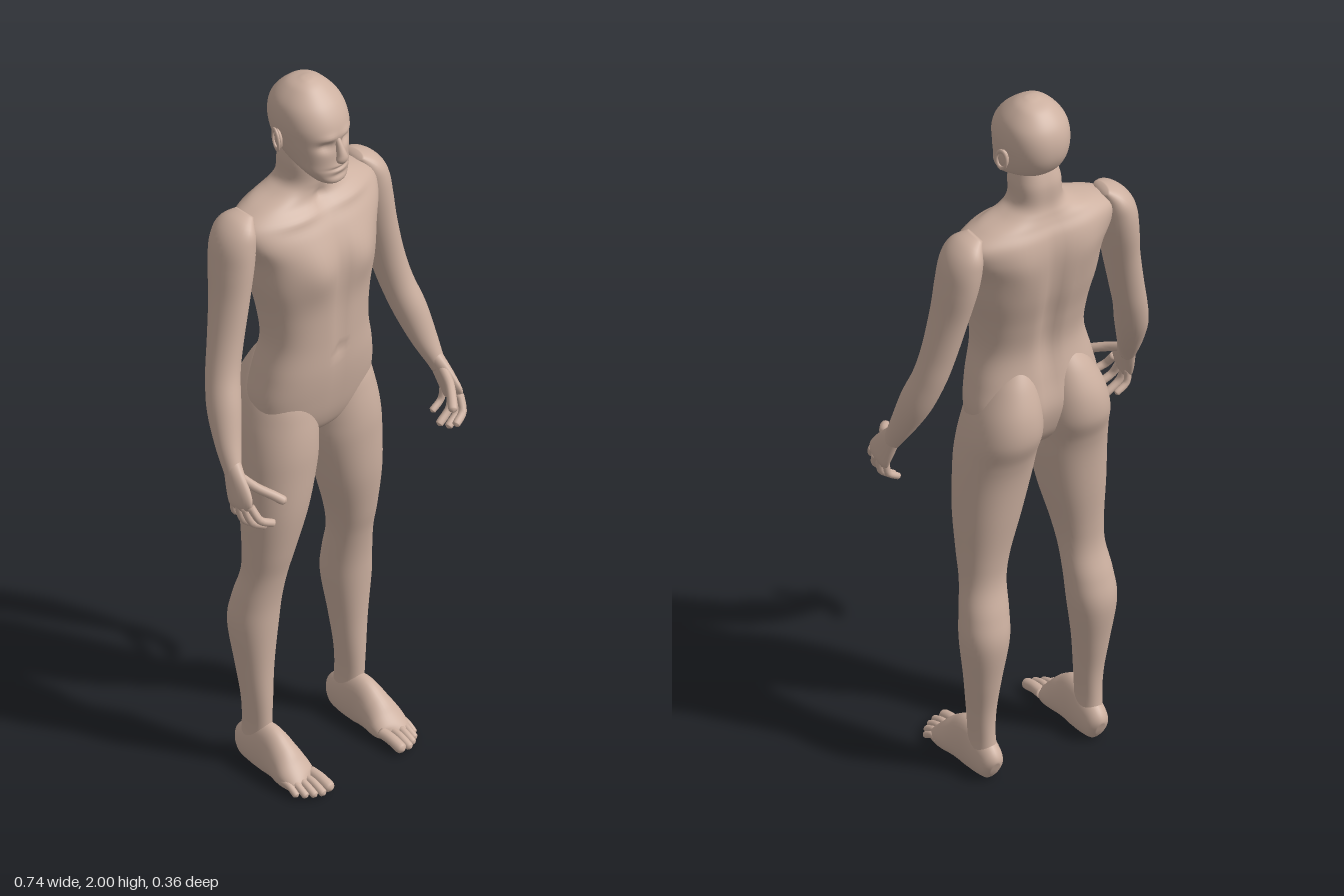
import * as THREE from 'three';

const skin = new THREE.MeshStandardMaterial({ color: 0xccb0a0 });
skin.name = 'skin';

const bump = (d, w) => Math.exp(-(d * d) / (w * w));

// Catmull-Rom sampling of all channels of a list of section rows
function sample(rows, t) {
  const n = rows.length - 1, f = Math.min(t * n, n - 1e-6), i = Math.floor(f), u = f - i;
  const [a, b, c, d] = [rows[Math.max(i - 1, 0)], rows[i], rows[i + 1], rows[Math.min(i + 2, n)]];
  return b.map((_, k) => b[k] + 0.5 * u * (c[k] - a[k] +
    u * (2 * a[k] - 5 * b[k] + 4 * c[k] - d[k] + u * (3 * (b[k] - c[k]) + d[k] - a[k]))));
}

// Closed smooth surface through rings; ring(row, tangentRow, angle) gives a point
function loft(rows, ring, segs, per) {
  const steps = (rows.length - 1) * per, pos = [], idx = [];
  for (let i = 0; i <= steps; i++) {
    const t = i / steps, row = sample(rows, t);
    const lo = sample(rows, Math.max(t - 0.01, 0)), hi = sample(rows, Math.min(t + 0.01, 1));
    const dir = hi.map((v, k) => v - lo[k]);
    for (let j = 0; j < segs; j++) pos.push(...ring(row, dir, (j / segs) * Math.PI * 2));
  }
  for (let i = 0; i < steps; i++) for (let j = 0; j < segs; j++) {
    const a = i * segs + j, b = i * segs + (j + 1) % segs;
    idx.push(a, a + segs, b, b, a + segs, b + segs);
  }
  // end caps
  for (const end of [0, steps]) {
    const c = [0, 0, 0], base = end * segs, centre = pos.length / 3;
    for (let j = 0; j < segs; j++) for (let k = 0; k < 3; k++) c[k] += pos[(base + j) * 3 + k] / segs;
    pos.push(...c);
    for (let j = 0; j < segs; j++) {
      const a = base + j, b = base + (j + 1) % segs;
      idx.push(centre, ...(end ? [b, a] : [a, b]));
    }
  }
  // turn the faces outward where the rings run the other way
  let volume = 0;
  const p = k => new THREE.Vector3().fromArray(pos, idx[k] * 3);
  for (let k = 0; k < idx.length; k += 3) volume += p(k).dot(p(k + 1).cross(p(k + 2)));
  if (volume < 0) idx.reverse();
  const g = new THREE.BufferGeometry();
  g.setAttribute('position', new THREE.Float32BufferAttribute(pos, 3));
  g.setIndex(idx);
  g.computeVertexNormals();
  return g;
}

// Horizontal sections: [y, centre x, half width, front z, back z]
function slabs(rows, { side = 1, power = 0.9, shape = () => 0, segs = 48, per = 6 } = {}) {
  const pw = v => Math.sign(v) * Math.abs(v) ** power;
  return loft(rows, ([y, cx, rx, zf, zb], _, a) => {
    const x = cx + rx * pw(Math.cos(a)), s = Math.sin(a);
    const z = (zf + zb) / 2 + (zf - zb) / 2 * pw(s);
    return [side * x, y, z + shape(x, y, s)];
  }, segs, per);
}

// Sections across a path: [x, y, z, radius along ref, radius across ref]
function limb(rows, ref, side = 1, segs = 20, per = 5) {
  return loft(rows, ([x, y, z, ra, rb], d, a) => {
    const t = new THREE.Vector3(d[0], d[1], d[2]).normalize();
    const u = ref.clone().addScaledVector(t, -ref.dot(t)).normalize();
    const v = t.clone().cross(u);
    const q = new THREE.Vector3(x, y, z).addScaledVector(u, ra * Math.cos(a)).addScaledVector(v, rb * Math.sin(a));
    return [side * q.x, Math.max(q.y, 0), q.z];
  }, segs, per);
}

// A finger or toe with a rounded tip
function digit(points, r, ref, side) {
  const rows = points.map(p => [...p, r, r]);
  const e = points[points.length - 1], b = points[points.length - 2];
  const d = new THREE.Vector3(...e).sub(new THREE.Vector3(...b)).normalize();
  for (const [k, s] of [[0.6, 0.75], [0.95, 0.15]])
    rows.push([e[0] + d.x * r * k, e[1] + d.y * r * k, e[2] + d.z * r * k, r * s, r * s]);
  return limb(rows, ref, side, 12, 4);
}

export function createModel() {
  const model = new THREE.Group();
  const X = new THREE.Vector3(1, 0, 0), Z = new THREE.Vector3(0, 0, 1);
  const add = (name, geometry, parent = model) => {
    const m = new THREE.Mesh(geometry, skin);
    m.name = name;
    parent.add(m);
    return m;
  };

  // torso and neck, with chest, belly, spine and shoulder-blade relief
  add('torso', slabs([
    [0.955, 0, 0.03, -0.02, -0.08], [0.985, 0, 0.09, 0.02, -0.11], [1.03, 0, 0.165, 0.042, -0.135],
    [1.1, 0, 0.182, 0.058, -0.15], [1.18, 0, 0.17, 0.069, -0.138], [1.27, 0, 0.151, 0.072, -0.125],
    [1.36, 0, 0.158, 0.075, -0.138], [1.45, 0, 0.177, 0.08, -0.158], [1.53, 0, 0.19, 0.076, -0.168],
    [1.59, 0, 0.215, 0.055, -0.17], [1.635, 0, 0.215, 0.025, -0.163], [1.665, 0, 0.165, 0.002, -0.148],
    [1.688, 0, 0.1, -0.004, -0.138], [1.715, 0, 0.068, -0.002, -0.13], [1.77, 0, 0.063, 0.002, -0.127],
    [1.82, 0, 0.05, -0.01, -0.11],
  ], {
    power: 0.85, segs: 72,
    shape: (x, y, s) => s > 0
      ? s * (0.016 * bump(Math.abs(x) - 0.075, 0.055) * bump(y - 1.49, 0.065)
        - 0.008 * bump(x, 0.018) * bump(y - 1.4, 0.2) - 0.01 * bump(x, 0.012) * bump(y - 1.235, 0.012)
        + 0.008 * bump(Math.abs(x) - 0.09, 0.07) * bump(y - 1.64, 0.014)
        - 0.012 * bump(x, 0.02) * bump(y - 1.665, 0.02))
      : s * (0.01 * bump(Math.abs(x) - 0.1, 0.05) * bump(y - 1.56, 0.08)
        - 0.018 * bump(x, 0.025) * bump(y - 1.38, 0.24)),
  }));

  // head with brow, eye-socket, cheek and mouth relief
  const head = new THREE.Group();
  head.name = 'head';
  model.add(head);
  add('skull', slabs([
    [1.737, 0, 0.018, 0.058, 0.02], [1.748, 0, 0.042, 0.069, -0.015], [1.775, 0, 0.063, 0.068, -0.06],
    [1.805, 0, 0.074, 0.066, -0.118], [1.85, 0, 0.084, 0.064, -0.149], [1.9, 0, 0.088, 0.06, -0.156],
    [1.945, 0, 0.078, 0.036, -0.143], [1.982, 0, 0.048, -0.004, -0.108], [1.997, 0, 0.02, -0.032, -0.07],
    [2.0, 0, 0.002, -0.048, -0.052],
  ], {
    segs: 72, per: 9,
    shape: (x, y, s) => s <= 0 ? 0 : s * (
      -0.013 * bump(Math.abs(x) - 0.033, 0.02) * bump(y - 1.853, 0.014)
      + 0.006 * bump(Math.abs(x) - 0.03, 0.025) * bump(y - 1.878, 0.011)
      + 0.005 * bump(x, 0.025) * bump(y - 1.786, 0.013)
      - 0.007 * bump(x, 0.028) * bump(y - 1.786, 0.004)
      - 0.004 * bump(x, 0.03) * bump(y - 1.765, 0.007)),
  }), head);
  add('nose', limb([
    [0, 1.872, 0.055, 0.007, 0.008], [0, 1.85, 0.066, 0.009, 0.011], [0, 1.828, 0.074, 0.013, 0.014],
    [0, 1.815, 0.075, 0.017, 0.013], [0, 1.806, 0.066, 0.009, 0.006],
  ], X), head);

  // toes: [x, base z, tip z, radius]
  const toes = [[0.122, 0.09, 0.156, 0.015], [0.147, 0.09, 0.16, 0.0105], [0.167, 0.085, 0.151, 0.01],
    [0.185, 0.078, 0.138, 0.0095], [0.2, 0.068, 0.12, 0.009]];
  // fingers, little to index: knuckle, joint, tip
  const fingers = [
    [[0.356, 0.953, 0.062], [0.352, 0.915, 0.06], [0.325, 0.895, 0.06]],
    [[0.36, 0.95, 0.083], [0.352, 0.905, 0.091], [0.317, 0.877, 0.094]],
    [[0.36, 0.95, 0.104], [0.35, 0.908, 0.12], [0.317, 0.886, 0.127]],
    [[0.356, 0.957, 0.123], [0.345, 0.923, 0.145], [0.315, 0.907, 0.156]]];

  for (const side of [1, -1]) {
    const label = side > 0 ? 'left' : 'right';
    const part = name => {
      const g = new THREE.Group();
      g.name = label + name;
      model.add(g);
      return g;
    };

    // ear: shell with a raised rim
    const ear = part('Ear');
    ear.position.set(side * 0.089, 1.85, -0.06);
    ear.rotation.set(-0.15, side * 0.3, 0);
    const shell = add('earShell', new THREE.SphereGeometry(1, 20, 14), ear);
    shell.scale.set(0.008, 0.028, 0.017);
    const rim = add('earRim', new THREE.TorusGeometry(0.016, 0.004, 8, 28), ear);
    rim.rotation.y = Math.PI / 2;
    rim.position.x = side * 0.007;
    rim.scale.set(1, 1.7, 1);

    // arm from deltoid to wrist
    const arm = part('Arm');
    add('armLength', limb([
      [0.185, 1.664, -0.08, 0.03, 0.012], [0.21, 1.635, -0.08, 0.06, 0.035], [0.226, 1.595, -0.079, 0.068, 0.048],
      [0.237, 1.53, -0.075, 0.067, 0.049], [0.252, 1.44, -0.066, 0.058, 0.045], [0.275, 1.33, -0.055, 0.049, 0.043],
      [0.295, 1.25, -0.042, 0.046, 0.042], [0.316, 1.17, -0.016, 0.045, 0.042], [0.333, 1.09, 0.016, 0.034, 0.034],
      [0.345, 1.03, 0.045, 0.026, 0.022], [0.348, 1.01, 0.056, 0.024, 0.018],
    ], Z, side, 32, 6), arm);

    // hand
    const hand = part('Hand');
    add('palm', limb([
      [0.342, 1.045, 0.04, 0.024, 0.02], [0.348, 1.02, 0.055, 0.03, 0.019], [0.354, 0.985, 0.075, 0.039, 0.017],
      [0.358, 0.955, 0.091, 0.042, 0.014], [0.357, 0.937, 0.099, 0.03, 0.008],
    ], Z, side, 24), hand);
    fingers.forEach((f, i) => add('finger' + (i + 1), digit(f, i ? 0.0105 : 0.009, Z, side), hand));
    add('thumb', digit([[0.346, 1.02, 0.068], [0.33, 1.0, 0.112], [0.306, 0.983, 0.148], [0.29, 0.97, 0.168]], 0.012, Z, side), hand);

    // leg from buttock to ankle
    const leg = part('Leg');
    add('legLength', slabs([
      [0.05, 0.155, 0.034, -0.02, -0.118], [0.12, 0.157, 0.03, -0.021, -0.109], [0.2, 0.158, 0.035, -0.02, -0.11],
      [0.3, 0.159, 0.046, -0.02, -0.126], [0.42, 0.158, 0.062, -0.014, -0.144], [0.5, 0.153, 0.062, -0.008, -0.131],
      [0.58, 0.145, 0.059, 0.006, -0.109], [0.66, 0.138, 0.067, 0.026, -0.11], [0.78, 0.124, 0.086, 0.048, -0.125],
      [0.9, 0.11, 0.099, 0.056, -0.14], [0.97, 0.105, 0.1, 0.057, -0.156], [1.04, 0.099, 0.097, 0.05, -0.18],
      [1.11, 0.092, 0.085, 0.036, -0.176], [1.18, 0.08, 0.06, 0, -0.148], [1.23, 0.07, 0.03, -0.04, -0.115],
    ], { side, power: 0.95 }), leg);

    // foot, flat underneath
    const foot = part('Foot');
    add('footBody', limb([
      [0.155, 0.04, -0.126, 0.012, 0.022], [0.155, 0.045, -0.112, 0.03, 0.046], [0.155, 0.055, -0.07, 0.037, 0.065],
      [0.156, 0.06, -0.02, 0.038, 0.075], [0.157, 0.05, 0.025, 0.044, 0.06], [0.158, 0.034, 0.065, 0.051, 0.042],
      [0.156, 0.023, 0.095, 0.047, 0.026], [0.15, 0.016, 0.11, 0.036, 0.012],
    ], X, side, 36), foot);
    toes.forEach(([x, z0, z1, r], i) => add('toe' + (i + 1),
      digit([[x, 0.03, z0], [x, 0.028, (z0 + z1) / 2], [x, r + 0.004, z1]], r, X, side), foot));
  }
  return model;
}
